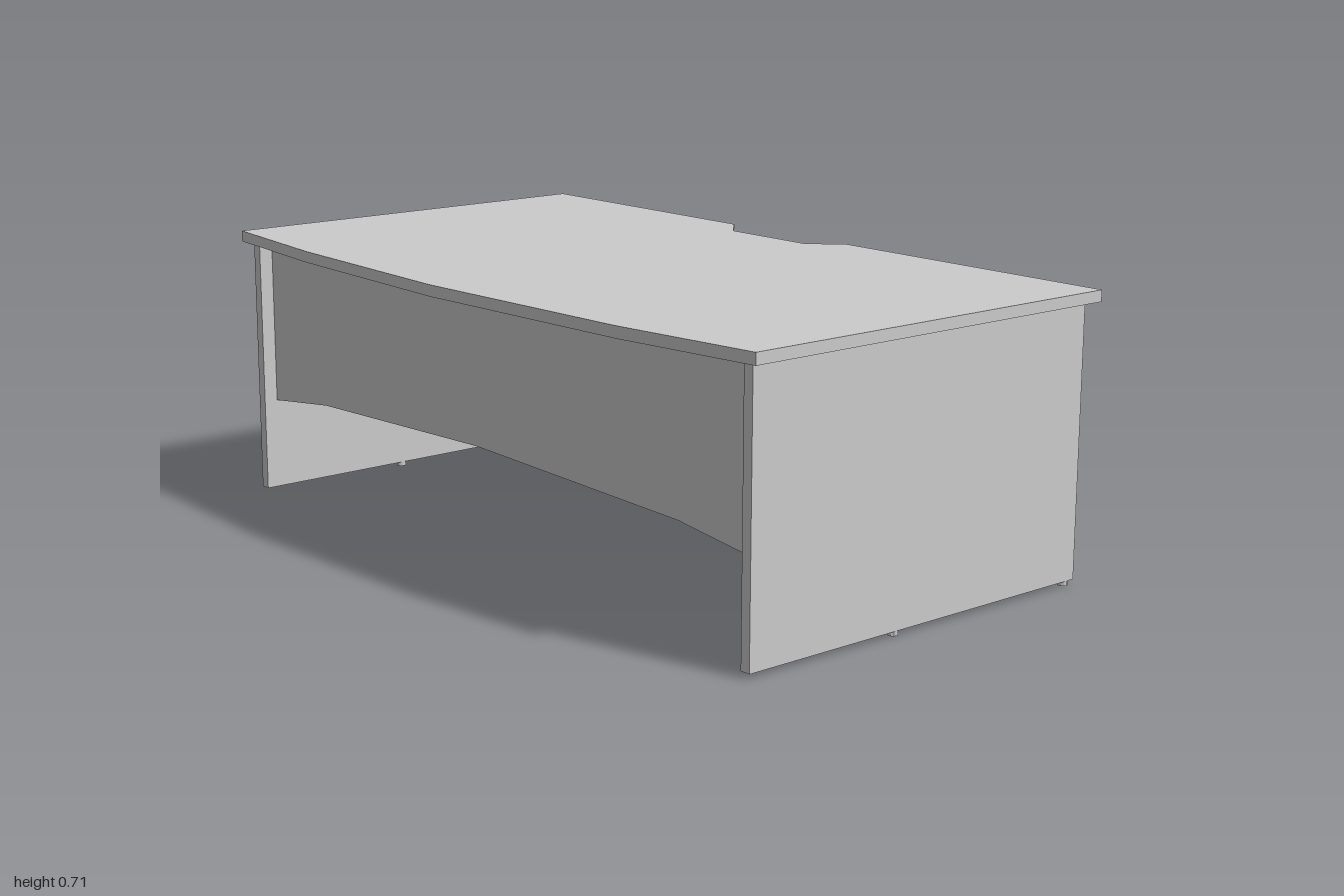
import * as THREE from 'three';

const material = new THREE.MeshStandardMaterial({ color: 0xcccccc, flatShading: true });

// Straight-edged board cut from an outline and extruded along +z
function board(name, outline, thickness) {
  const shape = new THREE.Shape(outline.map(([x, y]) => new THREE.Vector2(x, y)));
  const geometry = new THREE.ExtrudeGeometry(shape, { depth: thickness, bevelEnabled: false });
  const mesh = new THREE.Mesh(geometry, material);
  mesh.name = name;
  return mesh;
}

export function createModel() {
  const desk = new THREE.Group();
  desk.name = 'desk';

  const height = 0.707, topThickness = 0.028, underside = height - topThickness;
  const footHeight = 0.012, legThickness = 0.027, legX = 0.958;
  const legFront = 0.483, legBack = -0.551;

  // Desktop: bowed front edge, cable notch in the back edge (outline in x, z)
  const top = board('desktop', [
    [-1, 0.502], [-0.61, 0.547], [-0.036, 0.574], [0.61, 0.547], [1, 0.502],
    [1, -0.574], [0.174, -0.574], [0.094, -0.498], [-0.174, -0.498], [-0.254, -0.574], [-1, -0.574],
  ], topThickness);
  top.rotation.x = Math.PI / 2;
  top.position.y = height;
  desk.add(top);

  // Modesty panel with an arched lower edge, set just behind the leg fronts
  const inner = legX - legThickness / 2;
  const panel = board('modestyPanel', [
    [-inner, 0.25], [-0.7, 0.279], [-0.036, 0.3], [0.7, 0.279], [inner, 0.25],
    [inner, underside], [-inner, underside],
  ], 0.027);
  panel.position.z = 0.419;
  desk.add(panel);

  // Slab legs, each on two small round feet
  const legGeometry = new THREE.BoxGeometry(legThickness, underside - footHeight, legFront - legBack);
  const footGeometry = new THREE.CylinderGeometry(0.0125, 0.0125, footHeight, 12);
  for (const [side, sign] of [['left', 1], ['right', -1]]) {
    const leg = new THREE.Mesh(legGeometry, material);
    leg.name = side + 'Leg';
    leg.position.set(sign * legX, (underside + footHeight) / 2, (legFront + legBack) / 2);
    desk.add(leg);
    for (const [place, z] of [['Middle', 0.042], ['Back', -0.529]]) {
      const foot = new THREE.Mesh(footGeometry, material);
      foot.name = side + place + 'Foot';
      foot.position.set(sign * legX, footHeight / 2, z);
      desk.add(foot);
    }
  }
  return desk;
}
